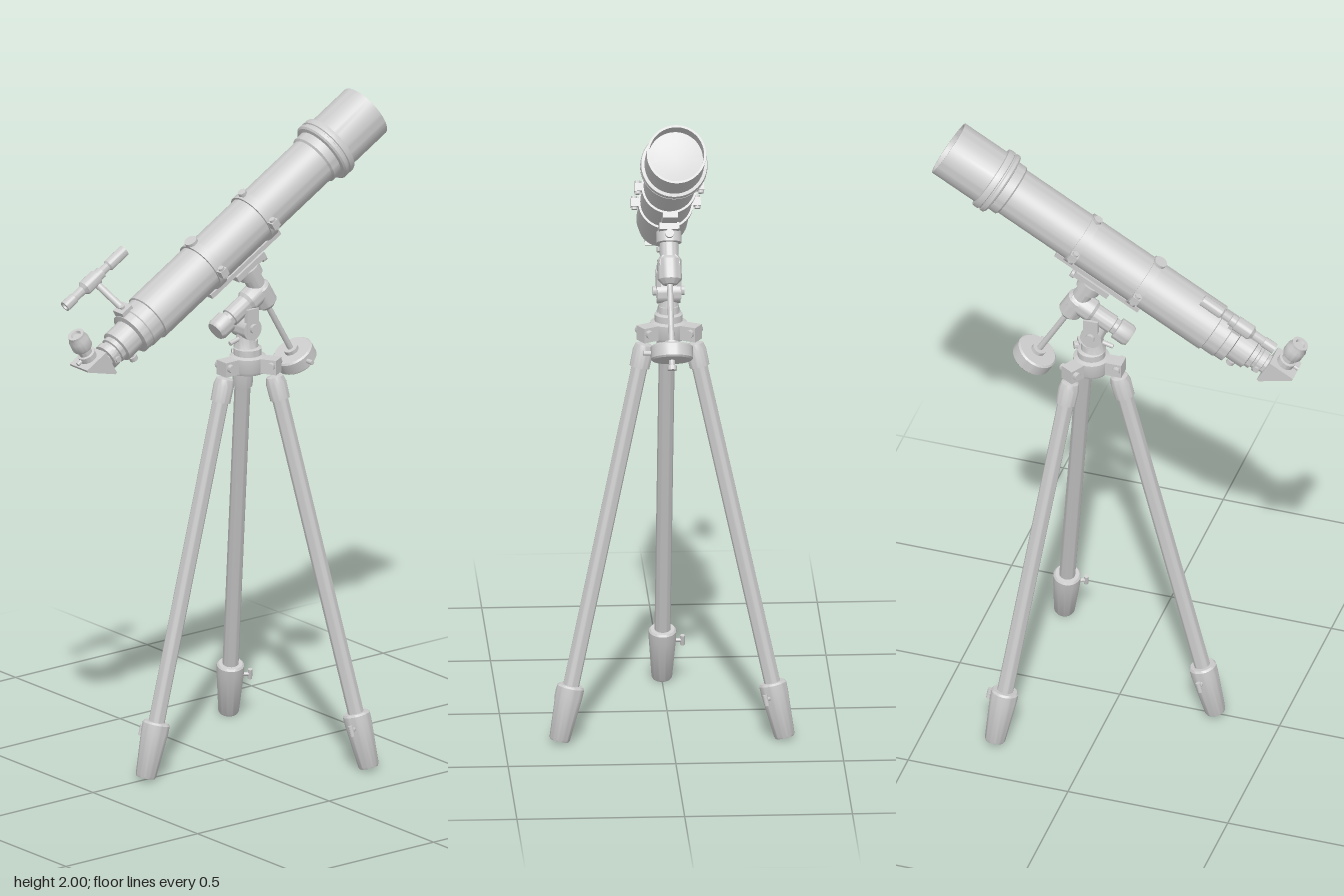
import * as THREE from 'three';
import { toCreasedNormals } from 'three/addons/utils/BufferGeometryUtils.js';

const grey = new THREE.MeshStandardMaterial({ color: 0xcccccc });

function add(parent, name, geo, pos = [0, 0, 0]) {
  const mesh = new THREE.Mesh(geo, grey);
  mesh.name = name;
  mesh.position.set(...pos);
  parent.add(mesh);
  return mesh;
}

// Turned part: profile of [radius, distance along axis]
function turn(parent, name, profile, axis = 'y', pos = [0, 0, 0], sides = 32) {
  let geo = new THREE.LatheGeometry(profile.map(p => new THREE.Vector2(...p)), sides);
  if (axis === 'z') geo.rotateX(Math.PI / 2);
  if (axis === 'x') geo.rotateZ(-Math.PI / 2);
  return add(parent, name, toCreasedNormals(geo, 0.6), pos);
}

// Plain rod between two distances along an axis
const rod = (parent, name, r, a, b, axis, pos, sides = 20) =>
  turn(parent, name, [[0, a], [r, a], [r, b], [0, b]], axis, pos, sides);

const box = (parent, name, w, h, d, pos) => add(parent, name, new THREE.BoxGeometry(w, h, d), pos);

// Rod between two arbitrary points
function strut(parent, name, a, b, r) {
  const p = new THREE.Vector3(...a), q = new THREE.Vector3(...b);
  const m = add(parent, name, new THREE.CylinderGeometry(r, r, p.distanceTo(q), 16));
  m.position.copy(p).lerp(q, 0.5);
  m.quaternion.setFromUnitVectors(new THREE.Vector3(0, 1, 0), q.sub(p).normalize());
}

function group(parent, name, pos) {
  const g = new THREE.Group();
  g.name = name;
  g.position.set(...pos);
  parent.add(g);
  return g;
}

function buildTripod(root) {
  const tripod = group(root, 'tripod', [0, 0, -0.088]);
  turn(tripod, 'tripodHub', [[0, 1.2], [0.05, 1.2], [0.055, 1.21], [0.055, 1.25], [0.042, 1.255],
    [0.042, 1.275], [0.032, 1.28], [0.03, 1.3], [0, 1.3]]);
  const tilt = Math.atan2(0.305, 1.2), len = 1.235;
  for (let i = -1; i <= 1; i++) {
    const side = group(tripod, 'tripodLeg', [0, 0, 0]);
    side.rotation.y = i * Math.PI * 2 / 3;
    box(side, 'legLug', 0.045, 0.045, 0.06, [0, 1.228, 0.07]);
    rod(side, 'legHingeBolt', 0.012, -0.036, 0.036, 'x', [0, 1.232, 0.085], 12);
    const leg = group(side, 'leg', [0, 0.007, 0.388]);
    leg.rotation.x = -tilt;
    turn(leg, 'legTube', [[0.024, 0.1], [0.024, len - 0.08], [0.03, len - 0.08], [0.031, len - 0.03],
      [0.026, len - 0.01], [0, len]]);
    turn(leg, 'foot', [[0, 0], [0.028, 0], [0.031, 0.006], [0.041, 0.14], [0.041, 0.165],
      [0.036, 0.171], [0.024, 0.171]]);
    // Clamp screw on the foot
    rod(leg, 'footScrew', 0.006, -0.06, 0, 'x', [0, 0.13, 0], 12);
    rod(leg, 'footScrewGrip', 0.007, -0.016, 0.016, 'y', [-0.06, 0.13, 0], 12);
  }
}

function buildMount(root, scope) {
  // Altitude neck on the tripod
  const base = group(root, 'mountBase', [0, 0, -0.08]);
  turn(base, 'neck', [[0, 1.28], [0.036, 1.28], [0.03, 1.3], [0.026, 1.34], [0, 1.34]]);
  rod(base, 'altitudeHinge', 0.033, -0.035, 0.035, 'x', [0, 1.34, 0], 32);
  for (const s of [-1, 1]) {
    box(base, 'altitudeCheek', 0.014, 0.08, 0.045, [s * 0.03, 1.365, 0]);
    rod(base, 'altitudeBolt', 0.014, -0.047, 0.047, 'x', [0, 1.345, 0], 16);
  }
  strut(base, 'azimuthScrew', [0, 1.31, 0.02], [0, 1.3, 0.06], 0.007);

  // Polar axis, parallel to the tube
  turn(scope, 'polarHousing', [[0, 0.565], [0.03, 0.565], [0.036, 0.58], [0.036, 0.64], [0.029, 0.65],
    [0.029, 0.715], [0.024, 0.717], [0.024, 0.73], [0.034, 0.732], [0.034, 0.77], [0.029, 0.78], [0, 0.78]],
  'z', [0, -0.212, 0]);

  // Declination axis with counterweight, square to the tube
  const dec = group(scope, 'declinationAxis', [0, 0, 0.588]);
  turn(dec, 'declinationHousing', [[0, -0.275], [0.022, -0.275], [0.036, -0.26], [0.036, -0.2],
    [0.028, -0.19], [0.028, -0.15], [0.038, -0.148], [0.038, -0.115], [0, -0.115]]);
  rod(dec, 'counterweightShaft', 0.009, -0.53, -0.27, 'y');
  turn(dec, 'counterweight', [[0, -0.505], [0.058, -0.505], [0.063, -0.5], [0.063, -0.465],
    [0.058, -0.46], [0.022, -0.46], [0.022, -0.448], [0, -0.448]], 'y', [0, 0, 0], 40);
  rod(dec, 'shaftStop', 0.014, -0.535, -0.522, 'y');
  rod(dec, 'counterweightScrew', 0.007, 0.05, 0.085, 'x', [0, -0.482, 0], 12);
  rod(dec, 'declinationClamp', 0.006, -0.06, 0, 'z', [0, -0.132, 0], 12);
  rod(dec, 'declinationClampKnob', 0.013, -0.068, -0.054, 'z', [0, -0.132, 0], 16);
  box(scope, 'saddle', 0.06, 0.02, 0.12, [0, -0.108, 0.588]);
  box(scope, 'mountingPlate', 0.045, 0.016, 0.3, [0, -0.092, 0.597]);
}

function buildTube(scope) {
  // Dew shield, lens, tube and focuser in one profile
  turn(scope, 'opticalTube', [[0, 0.065], [0.05, 0.068], [0.082, 0.072], [0.082, 0], [0.0885, 0], [0.0885, 0.152],
    [0.098, 0.153], [0.1, 0.158], [0.1, 0.172], [0.096, 0.174], [0.096, 0.178], [0.1, 0.18], [0.1, 0.19],
    [0.095, 0.195], [0.083, 0.197], [0.083, 0.225], [0.0765, 0.23], [0.0765, 0.955], [0.071, 0.957],
    [0.071, 1.0], [0.068, 1.003], [0.068, 1.03], [0.052, 1.034], [0.052, 1.09], [0.042, 1.093],
    [0.042, 1.108], [0.035, 1.11], [0.035, 1.118], [0.041, 1.12], [0.041, 1.138], [0.03, 1.14],
    [0.03, 1.16], [0, 1.16]], 'z', [0, 0, 0], 56);
  // Clamping rings with side lugs and a top screw
  for (const [s, knob] of [[0.485, 0.013], [0.71, 0.02]]) {
    const ring = group(scope, 'tubeRing', [0, 0, s]);
    turn(ring, 'ringBand', [[0.076, -0.014], [0.083, -0.014], [0.083, 0.014], [0.076, 0.014]], 'z', [0, 0, 0], 56);
    for (const x of [-1, 1]) {
      box(ring, 'ringLug', 0.026, 0.024, 0.026, [x * 0.091, 0, 0]);
      rod(ring, 'ringBolt', 0.009, -0.02, 0.02, 'y', [x * 0.094, 0, 0], 12);
    }
    box(ring, 'ringFoot', 0.04, 0.02, 0.028, [0, -0.082, 0]);
    rod(ring, 'ringTopScrew', knob * 0.5, 0.08, 0.096, 'y', [0, 0, 0], 16);
    rod(ring, 'ringTopKnob', knob, 0.09, 0.1, 'y', [0, 0, 0], 20);
  }
  // Focus lock and drawtube screws
  rod(scope, 'focusLockScrew', 0.007, -0.075, -0.04, 'y', [0, 0, 1.06], 12);
  rod(scope, 'focusLockKnob', 0.013, -0.078, -0.064, 'y', [0, 0, 1.06], 16);
  for (const x of [-1, 1]) {
    strut(scope, 'drawtubeScrew', [x * 0.03, 0, 1.129], [x * 0.052, 0, 1.129], 0.005);
    strut(scope, 'drawtubeScrewHead', [x * 0.046, 0, 1.129], [x * 0.053, 0, 1.129], 0.009);
  }
}

function buildDiagonal(scope) {
  // Wedge-shaped mirror housing
  const wedge = new THREE.Shape([[1.15, -0.038], [1.158, -0.038], [1.234, 0.036], [1.234, 0.044], [1.15, 0.044]]
    .map(p => new THREE.Vector2(...p)));
  const geo = new THREE.ExtrudeGeometry(wedge, { depth: 0.084, bevelEnabled: false });
  geo.translate(0, 0, -0.042).rotateY(-Math.PI / 2);
  add(scope, 'starDiagonal', geo);
  turn(scope, 'eyepiece', [[0, 0.04], [0.027, 0.04], [0.027, 0.062], [0.02, 0.064], [0.02, 0.08],
    [0.028, 0.084], [0.031, 0.09], [0.031, 0.118], [0.026, 0.13], [0.026, 0.14], [0.016, 0.14],
    [0.013, 0.132], [0, 0.132]], 'y', [0, 0, 1.19]);
  rod(scope, 'eyepieceScrew', 0.006, 0, 0.042, 'z', [0, 0.053, 1.19], 12);
}

function buildFinder(scope) {
  const finder = group(scope, 'finder', [-0.109, 0.16, 0]);
  turn(finder, 'finderTube', [[0, 0.878], [0.014, 0.876], [0.014, 0.866], [0.0175, 0.866], [0.0175, 0.935],
    [0.013, 0.94], [0.013, 0.965], [0.018, 0.967], [0.018, 0.985], [0.023, 0.987], [0.023, 1.04],
    [0.018, 1.045], [0.014, 1.05], [0.014, 1.085], [0.0165, 1.087], [0.0165, 1.126], [0.011, 1.126],
    [0.01, 1.12], [0, 1.12]], 'z', [0, 0, 0], 28);
  // Bracket arm down to the focuser
  strut(scope, 'finderArm', [-0.105, 0.145, 1.0], [-0.012, 0.072, 1.005], 0.011);
  box(scope, 'finderShoe', 0.045, 0.024, 0.042, [-0.014, 0.07, 1.007]);
  rod(scope, 'finderShoeScrew', 0.008, 0.07, 0.09, 'y', [-0.012, 0, 1.007], 12);
}

export function createModel() {
  const root = new THREE.Group();
  root.name = 'telescope';
  buildTripod(root);
  // Tube frame: local z runs along the optical axis to the eyepiece
  const scope = group(root, 'tubeAssembly', [0, 1.923, -0.535]);
  scope.rotation.x = Math.PI / 6;
  buildMount(root, scope);
  buildTube(scope);
  buildDiagonal(scope);
  buildFinder(scope);
  return root;
}
